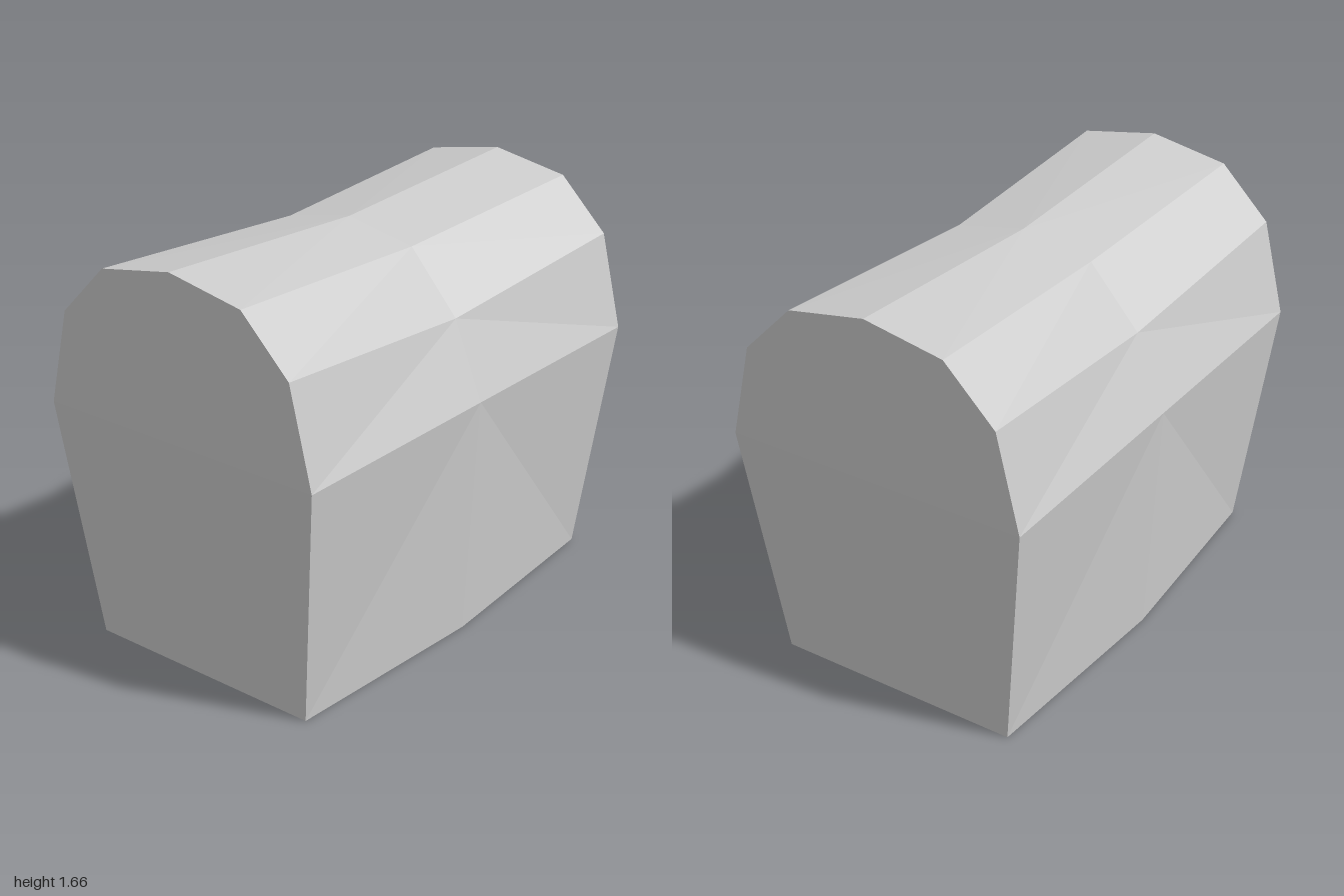
import * as THREE from 'three';

// Half profiles [x, y, z] from the foot up to the ridge
const endHalf = [[0.52, 0, 0.91], [0.635, 1, 1], [0.54, 1.39, 1], [0.33, 1.6, 1], [0, 1.66, 1]];
const midHalf = [[0.58, 0, 0], [0.635, 1, 0], [0.51, 1.31, 0], [0.3, 1.55, 0], [0, 1.61, 0]];

// Mirror a half profile across x and place it at the front (1) or back (-1)
function section(half, side) {
  const right = half.map(([x, y, z]) => [x, y, z * side]);
  const left = right.slice(0, -1).reverse().map(([x, y, z]) => [-x, y, z]);
  return [...right, ...left];
}

export function createModel() {
  const sections = [section(endHalf, 1), section(midHalf, 1), section(endHalf, -1)];
  const n = sections[0].length;
  const positions = [];
  const fan = (points) => {
    for (let i = 1; i < points.length - 1; i++) positions.push(...points[0], ...points[i], ...points[i + 1]);
  };

  // Walls, vaulted top and floor; the diagonals mirror front to back
  for (let s = 0; s < 2; s++) {
    const a = sections[s], b = sections[s + 1];
    for (let i = 0; i < n; i++) {
      const j = (i + 1) % n;
      const flip = (s === 0) === (i < n / 2 - 1);
      fan(flip ? [a[i], b[i], b[j], a[j]] : [b[i], b[j], a[j], a[i]]);
    }
  }

  // End walls: sloped lower panel and upright arched panel
  for (const end of [sections[0], [...sections[2]].reverse()]) {
    fan([end[0], end[1], end[n - 2], end[n - 1]]);
    fan(end.slice(1, -1));
  }

  const geometry = new THREE.BufferGeometry();
  geometry.setAttribute('position', new THREE.Float32BufferAttribute(positions, 3));
  geometry.computeVertexNormals();

  const body = new THREE.Mesh(geometry, new THREE.MeshStandardMaterial({ color: 0xcccccc, flatShading: true }));
  body.name = 'vaultedBody';
  const group = new THREE.Group();
  group.name = 'vaultedChest';
  group.add(body);
  return group;
}
